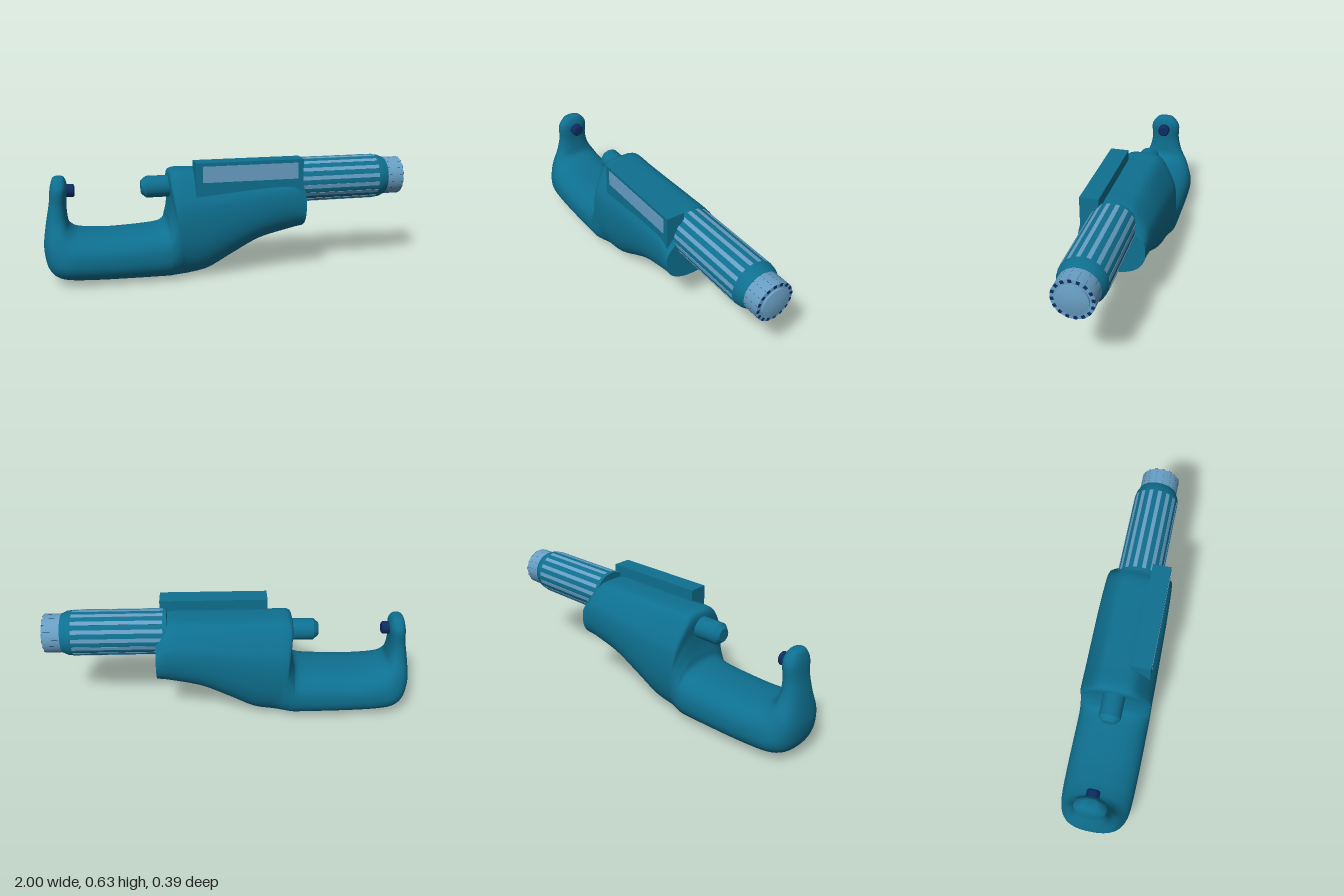
import * as THREE from 'three';
import { toCreasedNormals } from 'three/addons/utils/BufferGeometryUtils.js';

const { smoothstep, degToRad } = THREE.MathUtils;
const AXIS_Y = 0.487; // height of the measuring axis

const teal = new THREE.MeshStandardMaterial({ color: 0x0e7090 });
teal.name = 'teal';
const paleBlue = new THREE.MeshStandardMaterial({ color: 0x689fc4 });
paleBlue.name = 'pale blue';
const navy = new THREE.MeshStandardMaterial({ color: 0x0c2c62 });
navy.name = 'navy';

function add(group, name, geometry, material) {
  const mesh = new THREE.Mesh(geometry, material);
  mesh.name = name;
  group.add(mesh);
  return mesh;
}

// Solid of revolution around the measuring axis, profile as [x, radius]
function turned(profile, segments = 48) {
  const pts = profile.map(([x, r]) => new THREE.Vector2(r, x));
  const geo = new THREE.LatheGeometry(pts, segments);
  geo.rotateZ(-Math.PI / 2);
  geo.translate(0, AXIS_Y, 0);
  return toCreasedNormals(geo, 0.4);
}

// Frame cross-sections: outer x, y, inner x, y, half width
const STATIONS = [
  [-0.912, 0.565, -0.9, 0.565, 0.012],
  [-0.935, 0.555, -0.875, 0.557, 0.05],
  [-0.951, 0.5, -0.862, 0.51, 0.085],
  [-0.96, 0.42, -0.87, 0.42, 0.084],
  [-0.98, 0.32, -0.868, 0.36, 0.1],
  [-0.997, 0.2, -0.86, 0.315, 0.138],
  [-0.985, 0.1, -0.83, 0.288, 0.165],
  [-0.95, 0.045, -0.79, 0.277, 0.182],
  [-0.88, 0.018, -0.74, 0.271, 0.19],
  [-0.7, 0.007, -0.62, 0.267, 0.194],
  [-0.38, 0.001, -0.385, 0.285, 0.195],
  [-0.32, 0.001, -0.345, 0.345, 0.195],
  [-0.28, 0.001, -0.332, 0.45, 0.195],
  [-0.24, 0.002, -0.33, 0.572, 0.195],
  [-0.13, 0.025, -0.2, 0.579, 0.194],
  [0, 0.098, -0.03, 0.579, 0.192],
  [0.15, 0.177, 0.15, 0.579, 0.189],
  [0.32, 0.22, 0.32, 0.575, 0.183],
  [0.39, 0.236, 0.39, 0.505, 0.178],
];

// Lofted C-frame with closed ends; the shoulders narrow beside the measuring axis
function frameGeometry() {
  const curve = (f) => new THREE.CatmullRomCurve3(STATIONS.map(f), false, 'catmullrom', 0.45);
  const outer = curve(([x, y, , , w]) => new THREE.Vector3(x, y, w));
  const inner = curve(([, , x, y, w]) => new THREE.Vector3(x, y, w));
  const rows = 108, cols = 64, pos = [], index = [];
  for (let i = 0; i <= rows; i++) {
    const a = outer.getPoint(i / rows), b = inner.getPoint(i / rows);
    const taper = 0.3 * smoothstep(b.x, -0.39, -0.32);
    for (let j = 0; j < cols; j++) {
      const t = (j / cols) * Math.PI * 2, c = Math.cos(t), s = Math.sin(t);
      const e = 2 / (s > 0 ? 2.4 + 5 * taper : 2.4);
      const v = (Math.sign(s) * Math.abs(s) ** e + 1) / 2;
      const half = a.z * (1 - taper * smoothstep(v, 0.6, 1));
      const p = a.clone().lerp(b, v);
      pos.push(p.x, p.y, Math.sign(c) * Math.abs(c) ** e * half);
    }
  }
  for (let i = 0; i < rows; i++) {
    for (let j = 0; j < cols; j++) {
      const k = (j + 1) % cols, r = i * cols, q = r + cols;
      index.push(r + j, q + j, r + k, r + k, q + j, q + k);
    }
  }
  // End caps
  const n = pos.length / 3;
  pos.push(-0.906, 0.566, 0, 0.39, 0.37, 0);
  for (let j = 0; j < cols; j++) {
    const k = (j + 1) % cols;
    index.push(n, j, k, n + 1, rows * cols + k, rows * cols + j);
  }
  const geo = new THREE.BufferGeometry();
  geo.setAttribute('position', new THREE.Float32BufferAttribute(pos, 3));
  geo.setIndex(index);
  return toCreasedNormals(geo, 0.8);
}

// Evenly spaced bars around the measuring axis
function bars(group, name, material, count, offset, size, x, radius) {
  const set = new THREE.Group();
  set.name = name + 's';
  for (let i = 0; i < count; i++) {
    const a = offset + (i / count) * Math.PI * 2;
    const bar = add(set, name, new THREE.BoxGeometry(...size), material);
    bar.position.set(x, AXIS_Y + Math.cos(a) * radius, Math.sin(a) * radius);
    bar.rotation.x = a;
  }
  group.add(set);
}

export function createModel() {
  const model = new THREE.Group();
  model.name = 'micrometer';

  add(model, 'frame', frameGeometry(), teal);

  // Measuring faces
  add(model, 'anvil', turned([[-0.9, 0], [-0.9, 0.034], [-0.832, 0.034], [-0.825, 0.028], [-0.825, 0]], 24), navy);
  add(model, 'spindle', turned([[-0.48, 0], [-0.48, 0.035], [-0.453, 0.058], [-0.3, 0.058]], 32), teal);

  // Display housing and screen
  add(model, 'displayHousing', new THREE.BoxGeometry(0.58, 0.183, 0.1), teal).position.set(0.08, 0.5415, 0.115);
  add(model, 'screen', new THREE.BoxGeometry(0.515, 0.086, 0.004), paleBlue).position.set(0.083, 0.572, 0.165);

  // Thimble with grip stripes
  add(model, 'thimble', turned([[0.33, 0], [0.33, 0.122], [0.83, 0.122], [0.86, 0.118], [0.89, 0.105], [0.89, 0]]), teal);
  bars(model, 'gripStripe', paleBlue, 16, degToRad(9), [0.48, 0.006, 0.021], 0.59, 0.1205);

  // Ratchet knob with notches and a slightly domed end
  add(model, 'ratchetKnob', turned([[0.885, 0], [0.885, 0.104], [0.98, 0.104], [0.98, 0.079], [0.99, 0.079],
    [0.994, 0.06], [0.998, 0.035], [1, 0]]), paleBlue);
  bars(model, 'knobNotch', navy, 16, degToRad(5.8), [0.092, 0.016, 0.017], 0.936, 0.0955);

  return model;
}
